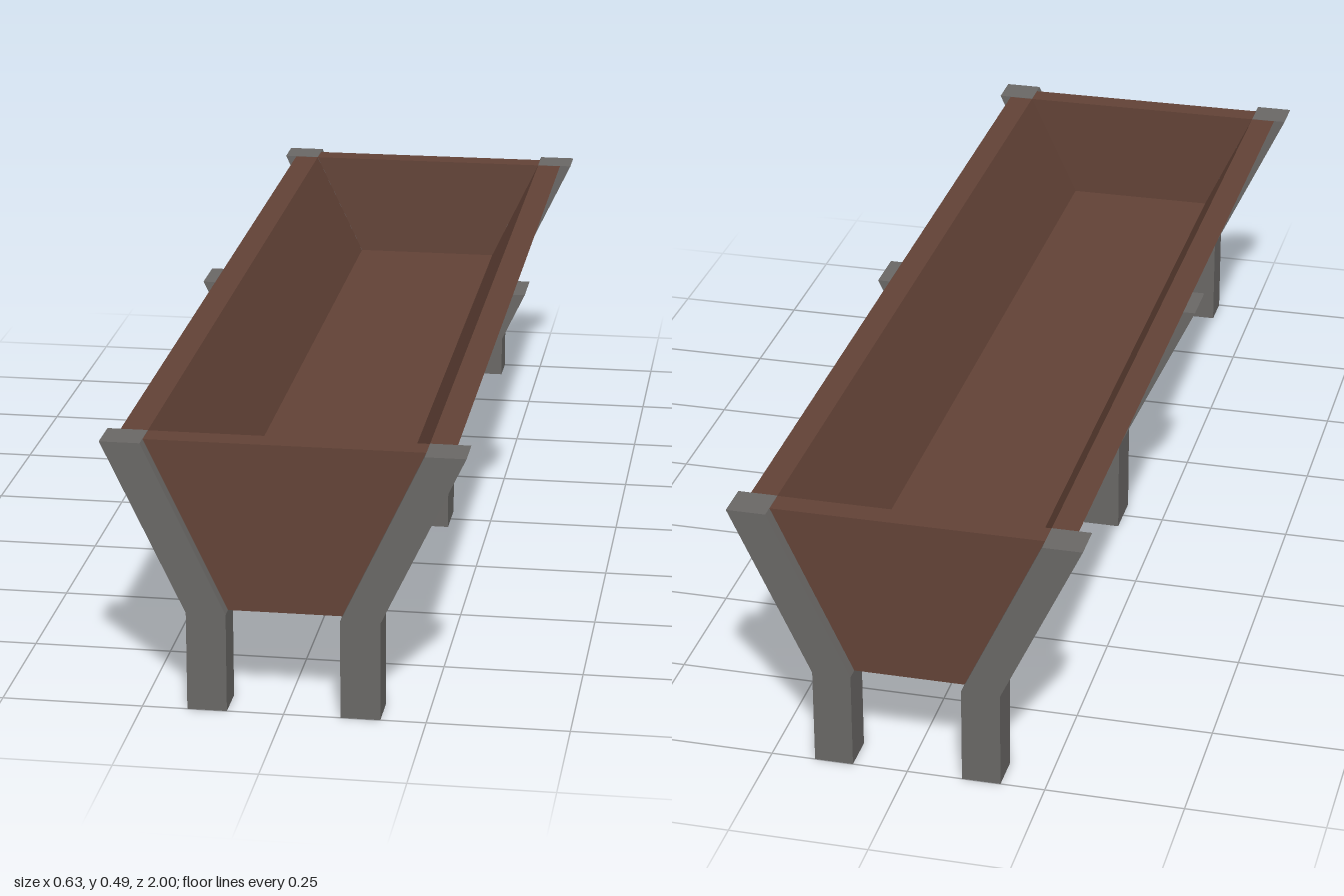
import * as THREE from 'three';

const wood = new THREE.MeshStandardMaterial({ color: 0x624236 });
wood.name = 'brown wood';
const post = new THREE.MeshStandardMaterial({ color: 0x696765 });
post.name = 'grey post';

// Extrudes an x-y outline from z0 to z1
function prism(name, points, z0, z1, material) {
  const shape = new THREE.Shape(points.map(([x, y]) => new THREE.Vector2(x, y)));
  const geometry = new THREE.ExtrudeGeometry(shape, { depth: z1 - z0, bevelEnabled: false });
  geometry.translate(0, 0, z0);
  const mesh = new THREE.Mesh(geometry, material);
  mesh.name = name;
  return mesh;
}

export function createModel() {
  const model = new THREE.Group();
  model.name = 'planterTrough';

  const bend = 0.18, top = 0.487, rim = 0.4865;
  const inner = 0.93, outer = 0.976;

  // Trough: flared side walls and raised floor in one cross-section
  model.add(prism('troughSidesAndFloor', [
    [-0.148, bend], [0.148, bend], [0.293, rim], [0.245, rim],
    [0.146, 0.277], [-0.146, 0.277], [-0.245, rim], [-0.293, rim],
  ], -inner, inner, wood));

  // Trapezoid end boards
  const end = [[-0.148, bend], [0.148, bend], [0.293, rim], [-0.293, rim]];
  model.add(prism('frontBoard', end, inner, outer, wood));
  model.add(prism('backBoard', end, -outer, -inner, wood));

  // Bent legs: full-depth at the corners, slim against the wall in the middle
  const cornerLeg = [[0.1, 0], [0.17, 0], [0.17, bend], [0.316, top], [0.245, top], [0.1, bend]];
  const middleLeg = [[0.1, 0], [0.17, 0], [0.17, bend], [0.316, top], [0.293, top], [0.148, bend], [0.1, bend]];
  for (const [side, s] of [['left', 1], ['right', -1]]) {
    const mirror = (pts) => pts.map(([x, y]) => [s * x, y]);
    model.add(prism(side + 'FrontLeg', mirror(cornerLeg), inner, 1, post));
    model.add(prism(side + 'MiddleLeg', mirror(middleLeg), -0.046, 0.046, post));
    model.add(prism(side + 'BackLeg', mirror(cornerLeg), -1, -inner, post));
  }
  return model;
}
